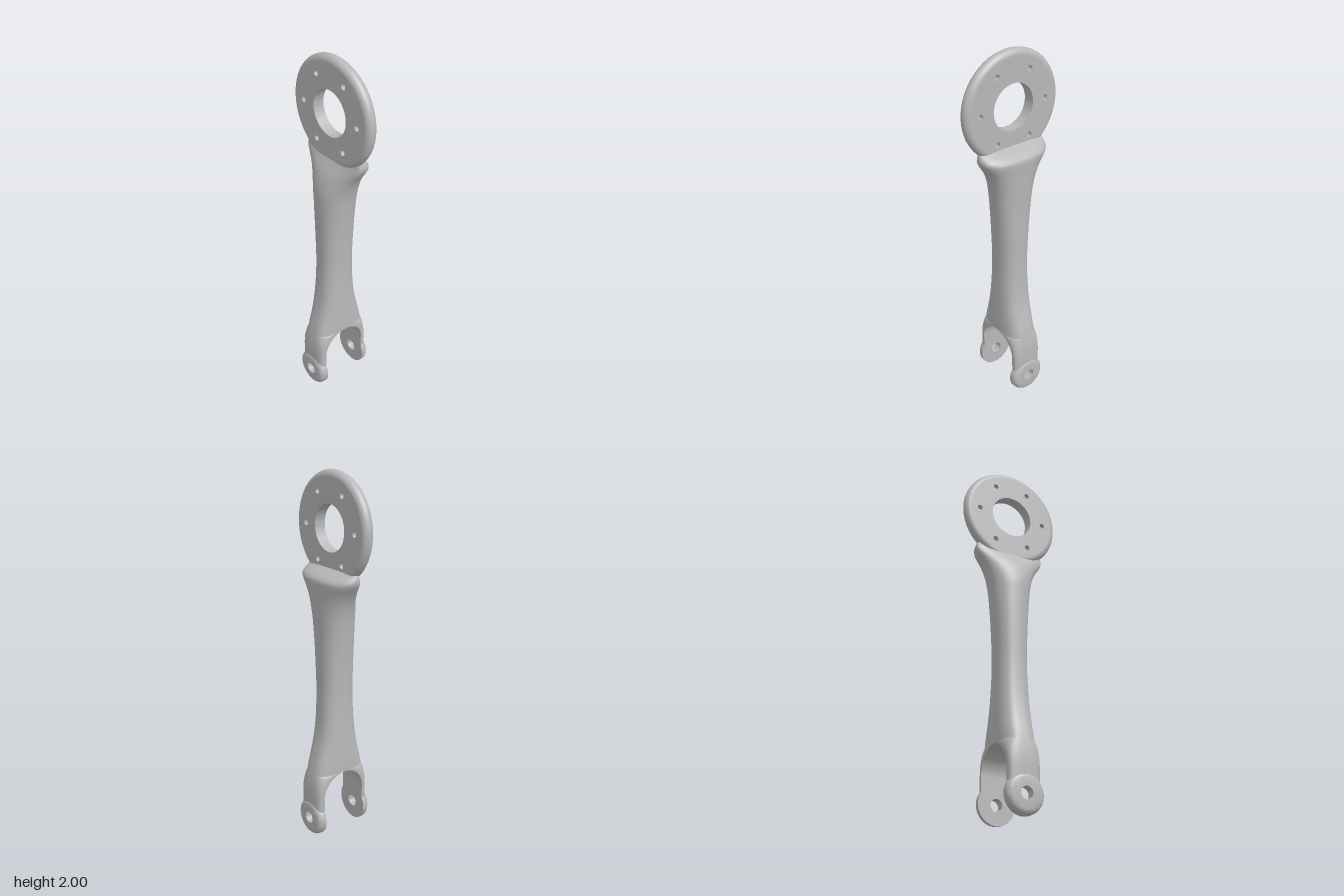
import * as THREE from 'three';
import { toCreasedNormals } from 'three/addons/utils/BufferGeometryUtils.js';

const grey = new THREE.MeshStandardMaterial({ color: 0xb8b8b8 });
grey.name = 'grey';

const RING_Y = 1.714, RING_R = 0.287, RIM = 0.031;   // mounting ring
const GAP = 0.13, ARCH_Y = 0.245, FORK_END = 0.16;   // fork opening
const TOP = 1.515, EYE_Y = 0.106;

// Arm sections: y, half width, front depth, back depth, front roundness, back roundness
const sections = [
  [0.16, 0.086, 0.17, 0.17, 3.6, 3.6],
  [0.25, 0.088, 0.17, 0.17, 3.4, 3.4],
  [0.32, 0.09, 0.165, 0.165, 3.2, 3.2],
  [0.40, 0.092, 0.152, 0.152, 3, 3],
  [0.50, 0.09, 0.128, 0.128, 2.8, 2.8],
  [0.60, 0.087, 0.111, 0.107, 2.7, 2.7],
  [0.80, 0.084, 0.097, 0.094, 2.5, 2.5],
  [1.00, 0.091, 0.098, 0.095, 2.4, 2.5],
  [1.20, 0.108, 0.1, 0.1, 2.2, 2.5],
  [1.28, 0.12, 0.099, 0.104, 2.1, 2.5],
  [1.35, 0.14, 0.085, 0.107, 2.1, 2.6],
  [1.40, 0.165, 0.067, 0.11, 2.1, 2.7],
  [1.44, 0.191, 0.045, 0.113, 2.3, 2.8],
  [1.46, 0.201, 0.034, 0.112, 2.5, 2.8],
  [1.475, 0.204, 0.026, 0.1, 2.6, 2.8],
  [TOP, 0.195, 0.02, 0.022, 2.6, 2.8],
];
const profile = new THREE.CubicInterpolant(
  sections.map((s) => s[0]), sections.flatMap((s) => s.slice(1)), 5, new Float32Array(5));

// Surface through rows of points
function loft(rows, flip) {
  const n = rows[0].length, index = [];
  for (let j = 0; j < rows.length - 1; j++) {
    for (let i = 0; i < n - 1; i++) {
      const a = j * n + i, b = a + 1, c = a + n, d = c + 1;
      index.push(...(flip ? [a, b, c, b, d, c] : [a, c, b, b, c, d]));
    }
  }
  const g = new THREE.BufferGeometry();
  g.setAttribute('position', new THREE.Float32BufferAttribute(rows.flat(2), 3));
  g.setIndex(index);
  g.computeVertexNormals();
  return g;
}

function addMesh(group, name, geometry) {
  const mesh = new THREE.Mesh(geometry, grey);
  mesh.name = name;
  group.add(mesh);
  return mesh;
}

// Inner wall of the fork at a given height
const innerZ = (y) => y <= ARCH_Y ? GAP
  : Math.sqrt(Math.max(0, GAP * GAP - (y - ARCH_Y) ** 2));

// One half of the arm: rounded outer shell and the arched inner wall of its prong
function addArmHalf(group, side, label) {
  const forkYs = [FORK_END, 0.19, 0.22];
  for (let i = 0; i <= 20; i++) forkYs.push(ARCH_Y + GAP * Math.sin(i * Math.PI / 40));
  const archTop = ARCH_Y + GAP;
  const upperYs = [];
  for (let i = 1; i <= 90; i++) upperYs.push(archTop + (TOP - archTop) * i / 90);

  const outer = [...forkYs, ...upperYs].map((y) => {
    const [w, zf, zb, nf, nb] = profile.evaluate(y);
    const z0 = innerZ(y), z1 = side > 0 ? zf : zb, e = 2 / (side > 0 ? nf : nb);
    const row = [];
    for (let i = 0; i <= 40; i++) {
      const t = i * Math.PI / 40, c = Math.cos(t), s = Math.max(0, Math.sin(t));
      const sn = i === 40 ? 0 : s;
      row.push([w * Math.sign(c) * Math.abs(c) ** e, y, side * (z0 + (z1 - z0) * sn ** e)]);
    }
    return row;
  });
  addMesh(group, label + 'ArmShell', loft(outer, side < 0));

  const inner = forkYs.map((y) => {
    const w = profile.evaluate(y)[0];
    return [[w, y, side * innerZ(y)], [-w, y, side * innerZ(y)]];
  });
  addMesh(group, label + 'ForkInnerWall', loft(inner, side > 0));
}

// Round eyelet with a pin hole and softened outer edge
function addEyelet(group, side, label) {
  const pts = [new THREE.Vector2(0.033, 0), new THREE.Vector2(0.103, 0)];
  for (let i = 0; i <= 8; i++) {
    const a = i * Math.PI / 16;
    pts.push(new THREE.Vector2(0.073 + 0.03 * Math.cos(a), 0.016 + 0.03 * Math.sin(a)));
  }
  pts.push(new THREE.Vector2(0.033, 0.046), new THREE.Vector2(0.033, 0));
  const g = toCreasedNormals(new THREE.LatheGeometry(pts, 64), 0.6);
  g.rotateX(side * Math.PI / 2);
  addMesh(group, label + 'Eyelet', g).position.set(0, EYE_Y, side * GAP);
}

// Mounting ring: flat drilled plate with a half-round rim
function addRing(group) {
  const ring = new THREE.Group();
  ring.name = 'mountingRing';
  ring.position.y = RING_Y;
  const shape = new THREE.Shape().absarc(0, 0, RING_R - RIM, 0, Math.PI * 2);
  const drill = (x, y, r) => shape.holes.push(new THREE.Path().absarc(x, y, r, 0, Math.PI * 2, true));
  drill(0, 0, 0.122);
  for (let i = 0; i < 6; i++) {
    const a = i * Math.PI / 3;
    drill(0.2 * Math.cos(a), 0.2 * Math.sin(a), 0.015);
  }
  const plate = new THREE.ExtrudeGeometry(shape, { depth: 2 * RIM, bevelEnabled: false, curveSegments: 48 });
  plate.translate(0, 0, -RIM);
  addMesh(ring, 'ringPlate', toCreasedNormals(plate, 0.6));

  const pts = [];
  for (let i = 0; i <= 16; i++) {
    const a = -Math.PI / 2 + i * Math.PI / 16;
    pts.push(new THREE.Vector2(RING_R - RIM + RIM * Math.cos(a), RIM * Math.sin(a)));
  }
  addMesh(ring, 'ringRim', new THREE.LatheGeometry(pts, 96).rotateX(Math.PI / 2));
  group.add(ring);
}

export function createModel() {
  const model = new THREE.Group();
  model.name = 'forkedArm';
  addRing(model);
  for (const [side, label] of [[1, 'front'], [-1, 'back']]) {
    addArmHalf(model, side, label);
    addEyelet(model, side, label);
  }
  return model;
}
